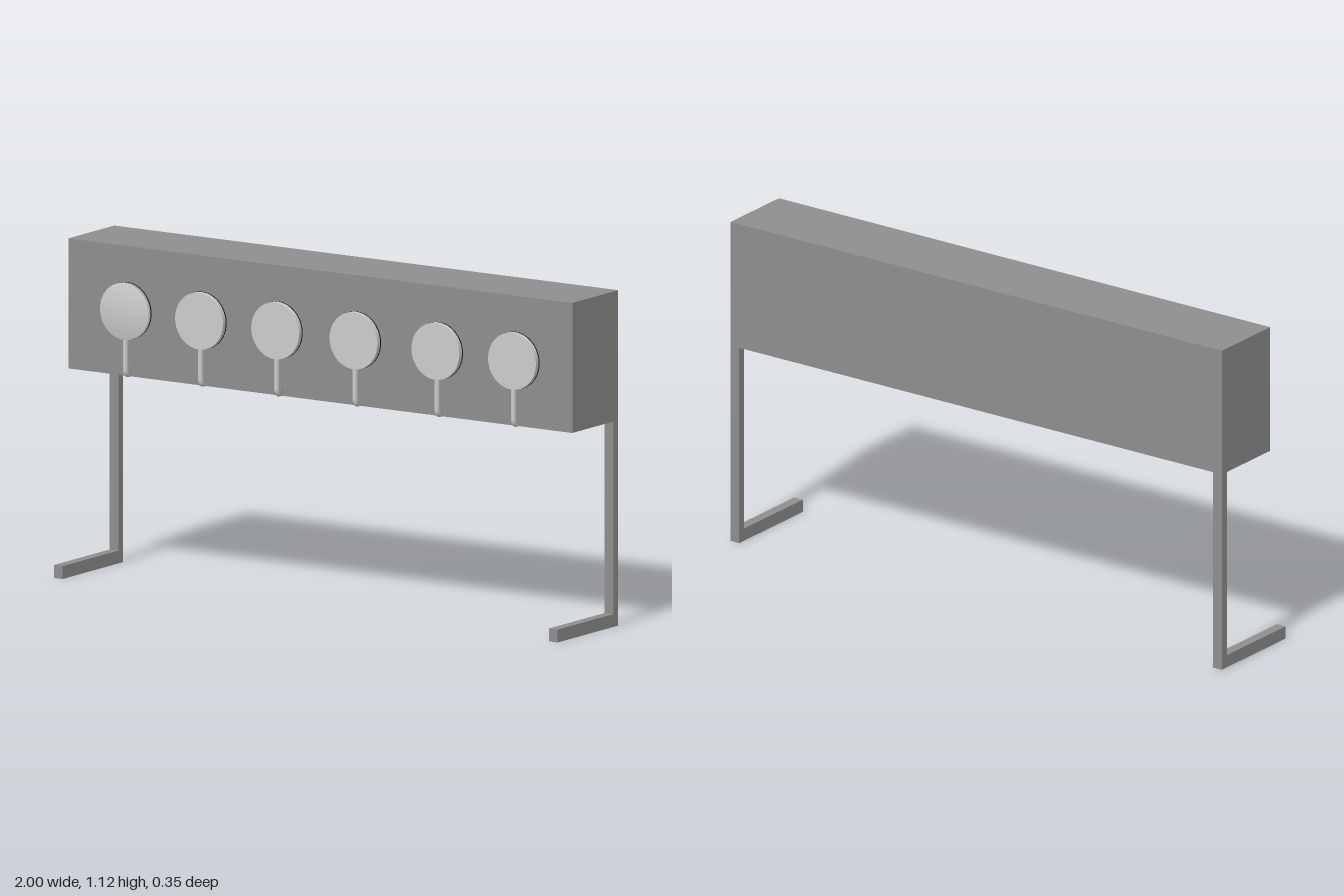
import * as THREE from 'three';
import { mergeVertices } from 'three/addons/utils/BufferGeometryUtils.js';

const lightGrey = new THREE.MeshStandardMaterial({ color: 0xcccccc });
const darkGrey = new THREE.MeshStandardMaterial({ color: 0x8e8e8e });
const black = new THREE.MeshStandardMaterial({ color: 0x202020 });

function addMesh(parent, name, geometry, material, x = 0, y = 0, z = 0) {
  const mesh = new THREE.Mesh(geometry, material);
  mesh.name = name;
  mesh.position.set(x, y, z);
  parent.add(mesh);
}

// Box given by its minimum and maximum corners
function addBox(parent, name, [x0, y0, z0], [x1, y1, z1]) {
  addMesh(parent, name, new THREE.BoxGeometry(x1 - x0, y1 - y0, z1 - z0), darkGrey,
    (x0 + x1) / 2, (y0 + y1) / 2, (z0 + z1) / 2);
}

// Flat round plate facing the front
function plate(radius, depth) {
  return new THREE.CylinderGeometry(radius, radius, depth, 48).rotateX(Math.PI / 2);
}

// Shared normals across the rim give a softly domed shading
function softened(geometry) {
  const soft = geometry.clone();
  soft.deleteAttribute('normal');
  soft.deleteAttribute('uv');
  const merged = mergeVertices(soft);
  merged.computeVertexNormals();
  return merged;
}

export function createModel() {
  const model = new THREE.Group();
  model.name = 'targetStand';

  // Long housing
  addBox(model, 'housing', [-1, 0.687, -0.177], [1, 1.122, 0.092]);

  // L-shaped supports at both ends
  for (const [side, x] of [['left', 0.965], ['right', -1]]) {
    const support = new THREE.Group();
    support.name = side + 'Support';
    addBox(support, 'leg', [x, 0.043, -0.177], [x + 0.035, 0.687, -0.149]);
    addBox(support, 'foot', [x, 0, -0.177], [x + 0.035, 0.043, 0.177]);
    model.add(support);
  }

  // Round paddles, each on a rod that hooks under the housing
  const discGeometry = plate(0.095, 0.016);
  const softDiscGeometry = softened(discGeometry);
  const backingGeometry = plate(0.0955, 0.007);
  const rodPath = new THREE.CurvePath();
  const top = new THREE.Vector3(0, 0.84, 0.103);
  const bend = new THREE.Vector3(0, 0.71, 0.103);
  const tip = new THREE.Vector3(0, 0.692, 0.078);
  rodPath.add(new THREE.LineCurve3(top, bend));
  rodPath.add(new THREE.CubicBezierCurve3(bend,
    new THREE.Vector3(0, 0.694, 0.103), new THREE.Vector3(0, 0.69, 0.094), tip));
  const rodGeometry = new THREE.TubeGeometry(rodPath, 32, 0.009, 12);
  const clipGeometry = new THREE.CylinderGeometry(0.016, 0.016, 0.028, 16).scale(1, 1, 0.25);

  [-0.765, -0.467, -0.165, 0.146, 0.471, 0.775].forEach((x, i) => {
    const paddle = new THREE.Group();
    paddle.name = 'paddle' + (i + 1);
    paddle.position.x = x;
    addMesh(paddle, 'disc', i === 0 ? softDiscGeometry : discGeometry, lightGrey, 0, 0.906, 0.105);
    addMesh(paddle, 'backing', backingGeometry, black, 0, 0.906, 0.0935);
    addMesh(paddle, 'rod', rodGeometry, lightGrey);
    addMesh(paddle, 'rodClip', clipGeometry, darkGrey, 0, 0.702, 0.0945);
    model.add(paddle);
  });

  return model;
}
